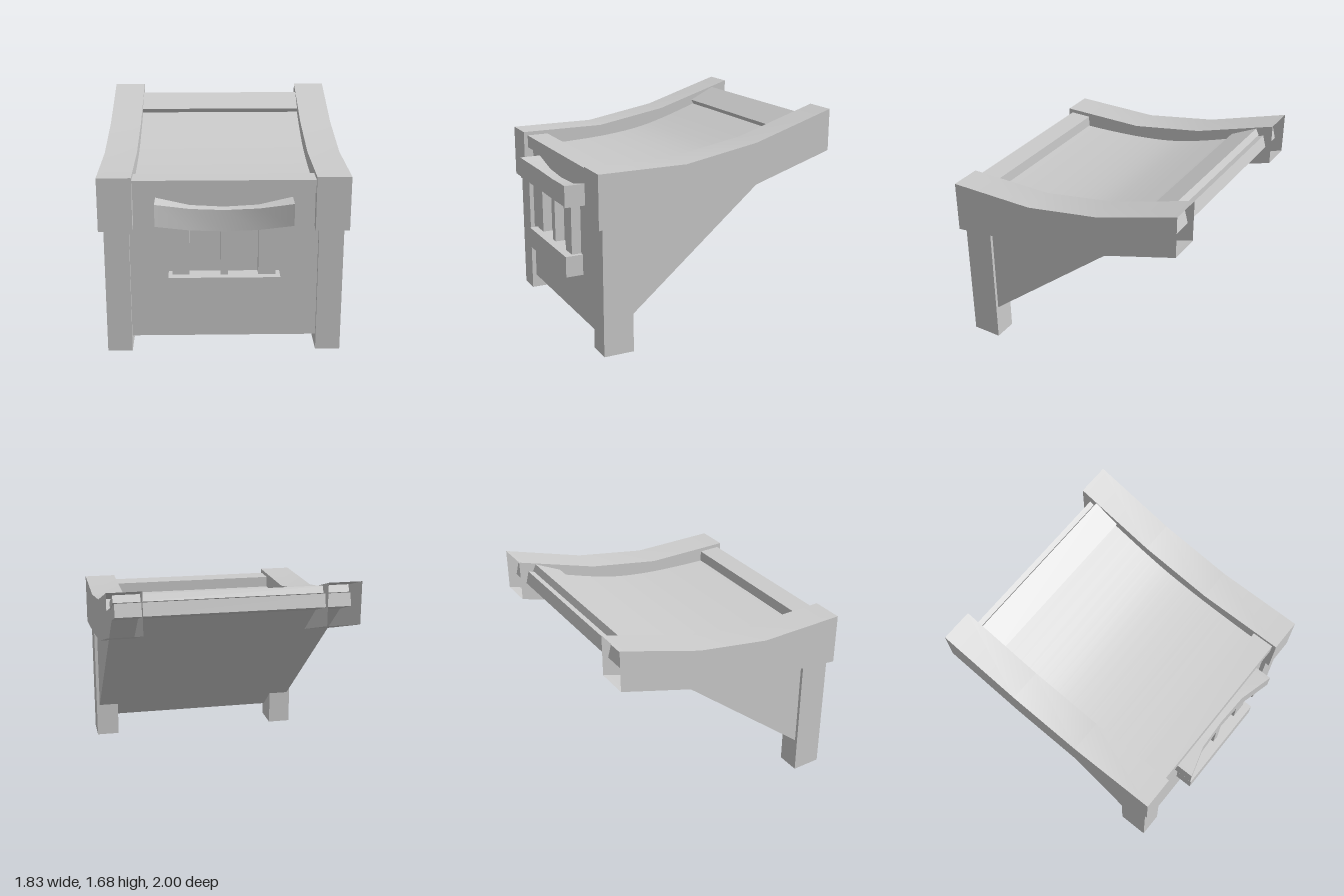
import * as THREE from 'three';
import { toCreasedNormals } from 'three/addons/utils/BufferGeometryUtils.js';

const material = new THREE.MeshStandardMaterial({ color: 0xcccccc, side: THREE.DoubleSide });

function addMesh(group, name, geometry) {
  const mesh = new THREE.Mesh(geometry, material);
  mesh.name = name;
  group.add(mesh);
  return mesh;
}

// Box given by its limits on each axis
function block(x0, x1, y0, y1, z0, z1) {
  return new THREE.BoxGeometry(x1 - x0, y1 - y0, z1 - z0)
    .translate((x0 + x1) / 2, (y0 + y1) / 2, (z0 + z1) / 2);
}

// Side profile of [z, y] points, extruded across x and centred
function acrossX(points, halfWidth) {
  const shape = new THREE.Shape(points.map(([z, y]) => new THREE.Vector2(z, y)));
  const geo = new THREE.ExtrudeGeometry(shape, { depth: halfWidth * 2, bevelEnabled: false });
  geo.translate(0, 0, -halfWidth).rotateY(-Math.PI / 2);
  return toCreasedNormals(geo, 0.3);
}

// Four-cornered cross-sections joined in order, with optional end caps
function loft(sections, capStart, capEnd) {
  const pos = [];
  const quad = (a, b, c, d) => pos.push(...a, ...b, ...c, ...a, ...c, ...d);
  for (let s = 0; s < sections.length - 1; s++) {
    const p = sections[s], q = sections[s + 1];
    for (let i = 0; i < 4; i++) {
      const j = (i + 1) % 4;
      quad(p[i], p[j], q[j], q[i]);
    }
  }
  const first = sections[0], last = sections[sections.length - 1];
  if (capStart) quad(first[3], first[2], first[1], first[0]);
  if (capEnd) quad(last[0], last[1], last[2], last[3]);
  const geo = new THREE.BufferGeometry();
  geo.setAttribute('position', new THREE.Float32BufferAttribute(pos, 3));
  return toCreasedNormals(geo, 0.3);
}

export function createModel() {
  const model = new THREE.Group();
  model.name = 'slopedSeat';

  // Wedge body with the curved seat as its upper face
  const seatCurve = new THREE.SplineCurve([
    [0.83, 1.265], [0.6, 1.265], [0.22, 1.285], [-0.1, 1.325],
    [-0.36, 1.39], [-0.675, 1.495], [-0.93, 1.585],
  ].map(([z, y]) => new THREE.Vector2(z, y)));
  const seatLine = seatCurve.getPoints(24).map((p) => [p.x, p.y]);
  addMesh(model, 'seatBody', acrossX(
    [[0.83, 0.11], ...seatLine, [-0.955, 1.49], [-0.725, 1.412]].reverse(), 0.855));

  // Cross boards at the two ends of the seat
  addMesh(model, 'frontCrossbar', block(-0.7, 0.7, 1.25, 1.35, 0.7, 0.873));
  addMesh(model, 'rearBoard', acrossX(
    [[-0.66, 1.53], [-0.865, 1.63], [-0.89, 1.58], [-0.685, 1.48]], 0.86));

  // Bent side rails, open at the back: z, bottom, top
  const railStations = [
    [-1, 1.36, 1.68], [-0.36, 1.16, 1.48], [0.22, 1.06, 1.38], [0.905, 0.975, 1.38],
  ];
  for (const [side, label] of [[1, 'left'], [-1, 'right']]) {
    const span = (a, b) => (side > 0 ? [a, b] : [-b, -a]);
    const [r0, r1] = span(0.665, 0.915);
    addMesh(model, label + 'Rail', loft(railStations.map(([z, lo, hi]) => [
      [r0, lo, z], [r1, lo, z], [r1, hi, z], [r0, hi, z],
    ]), false, true));

    // Square leg, open underneath
    const [l0, l1] = span(0.695, 0.88);
    addMesh(model, label + 'Leg', loft([0, 1.1].map((y) => [
      [l0, y, 0.63], [l0, y, 0.865], [l1, y, 0.865], [l1, y, 0.63],
    ]), false, true));
  }

  // Front rack: lower bar, three slats and a bowed upper bar
  const rack = new THREE.Group();
  rack.name = 'frontRack';
  model.add(rack);
  addMesh(rack, 'lowerBar', block(-0.41, 0.41, 0.475, 0.637, 0.825, 0.967));
  for (const [x0, x1] of [[-0.38, -0.255], [-0.028, 0.026], [0.25, 0.378]]) {
    addMesh(rack, 'slat', block(x0, x1, 0.6, 1.06, 0.825, 0.905));
  }
  // x, bottom, top, front
  const bow = [
    [-0.5, 1.045, 1.21, 0.998], [-0.25, 0.988, 1.152, 0.921], [0, 0.975, 1.138, 0.909],
    [0.25, 0.988, 1.152, 0.921], [0.5, 1.045, 1.21, 0.998],
  ];
  addMesh(rack, 'bowedBar', loft(bow.map(([x, lo, hi, front]) => [
    [x, lo, 0.825], [x, hi, 0.825], [x, hi, front], [x, lo, front],
  ]), true, true));

  return model;
}
